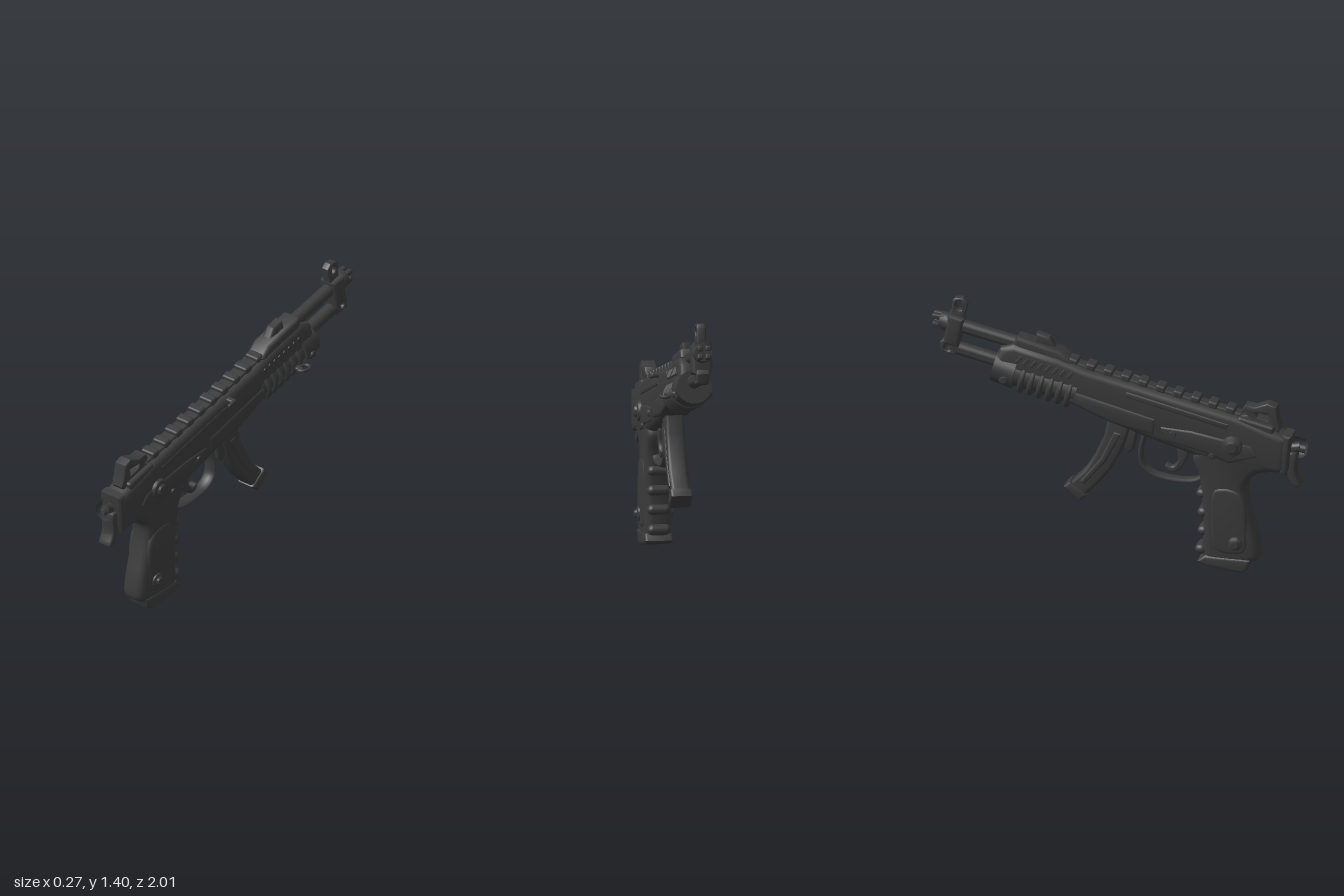
import * as THREE from 'three';
import { toCreasedNormals } from 'three/addons/utils/BufferGeometryUtils.js';
import { RoundedBoxGeometry } from 'three/addons/geometries/RoundedBoxGeometry.js';

const CX = -0.022;    // centre plane of the body
const TILT = 0.24;    // upward slope of the barrel

export function createModel() {
  const model = new THREE.Group();
  const dark = new THREE.MeshStandardMaterial({ color: 0x3a3a3a });
  dark.name = 'dark grey';

  const add = (name, geo, x = 0, y = 0, z = 0) => {
    const m = new THREE.Mesh(geo, dark);
    m.name = name;
    m.position.set(x, y, z);
    model.add(m);
    return m;
  };
  const vecs = (pts) => pts.map(([z, y]) => new THREE.Vector2(z, y));

  // side profile of [z, y] points, extruded across x with rounded edges
  const profile = (name, pts, width, bevel, { smooth = false, hole = null, x = CX } = {}) => {
    const shape = new THREE.Shape();
    if (smooth) {
      const c = new THREE.CatmullRomCurve3(pts.map(([z, y]) => new THREE.Vector3(z, y, 0)), true, 'centripetal');
      shape.setFromPoints(c.getPoints(pts.length * 4).slice(0, -1).map((p) => new THREE.Vector2(p.x, p.y)));
    } else shape.setFromPoints(vecs(pts));
    if (hole) shape.holes.push(hole.r
      ? new THREE.Path().absarc(hole.z, hole.y, hole.r, 0, Math.PI * 2, true)
      : new THREE.Path(vecs(hole)));
    const geo = new THREE.ExtrudeGeometry(shape, {
      depth: width - 2 * bevel, bevelEnabled: true, bevelThickness: bevel,
      bevelSize: bevel, bevelOffset: -bevel, bevelSegments: 3, curveSegments: 10,
    });
    geo.translate(0, 0, bevel - width / 2);
    geo.rotateY(-Math.PI / 2);
    return add(name, toCreasedNormals(geo, 0.7), x);
  };

  // cylinder between two [z, y] points on the centre plane
  const rod = (name, [z1, y1], [z2, y2], r1, r2 = r1, sx = 1) => {
    const d = new THREE.Vector3(0, y2 - y1, z2 - z1);
    const geo = toCreasedNormals(new THREE.CylinderGeometry(r2, r1, d.length(), 24), 0.7);
    const m = add(name, geo, CX, (y1 + y2) / 2, (z1 + z2) / 2);
    m.quaternion.setFromUnitVectors(new THREE.Vector3(0, 1, 0), d.normalize());
    m.scale.x = sx;
    return m;
  };

  // domed boss running through to both sides
  const boss = (name, z, y, r, half) => {
    const pts = vecs([[0, -half], [r * 0.45, -half], [r * 0.55, -half + 0.012], [r * 0.85, -half + 0.018], [r, -half + 0.035],
      [r, half - 0.035], [r * 0.85, half - 0.018], [r * 0.55, half - 0.012], [r * 0.45, half], [0, half]]);
    const geo = toCreasedNormals(new THREE.LatheGeometry(pts, 24), 0.6);
    geo.rotateZ(Math.PI / 2);
    add(name, geo, CX, y, z);
  };
  const block = (name, z, y, w, h, l, r, x = CX) => {
    const m = add(name, new RoundedBoxGeometry(w, h, l, 2, r), x, y, z);
    m.rotation.x = TILT;
    return m;
  };

  // receiver and side panels
  profile('receiver', [[0.91, 0.77], [0.84, 0.8], [0.65, 0.87], [0.25, 0.965], [-0.18, 1.07], [-0.31, 1.12],
    [-0.555, 1.18], [-0.63, 1.15], [-0.67, 1.01], [-0.29, 0.9], [-0.02, 0.775], [0.14, 0.72], [0.46, 0.62],
    [0.84, 0.57], [0.9, 0.58]], 0.145, 0.035);
  profile('magazineHousing', [[0.21, 0.83], [-0.23, 0.95], [-0.27, 0.89], [-0.03, 0.785], [0.2, 0.735]], 0.16, 0.02);
  profile('lowerPanel', [[0.76, 0.66], [0.72, 0.72], [0.4, 0.78], [0.23, 0.79], [0.26, 0.71], [0.47, 0.66], [0.6, 0.61]], 0.157, 0.015);
  profile('upperPanel', [[0.6, 0.83], [0.05, 0.97], [0.04, 0.94], [0.59, 0.8]], 0.154, 0.008);
  profile('topCover', [[-0.24, 1.1], [-0.3, 1.155], [-0.54, 1.22], [-0.56, 1.18], [-0.5, 1.1], [-0.28, 1.04]], 0.115, 0.02);

  // round pins and selector
  boss('selectorBoss', 0.62, 0.71, 0.058, 0.106);
  boss('frontPin', 0.3, 0.75, 0.036, 0.088);
  boss('rearPin', 0.51, 0.65, 0.028, 0.088);
  boss('gripPin', 0.635, 0.165, 0.042, 0.102);
  boss('handguardPin', -0.6, 0.99, 0.036, 0.106);

  // top rail with teeth
  profile('topRail', [[0.66, 0.88], [-0.27, 1.105], [-0.26, 1.06], [0.65, 0.84]], 0.075, 0.01);
  for (let i = 0; i < 10; i++) {
    const z = 0.6 - i * 0.0935;
    block('railTooth', z, 0.895 + (0.6 - z) * 0.24, 0.09, 0.04, 0.052, 0.012);
  }
  profile('railFrontSight', [[-0.34, 1.17], [-0.37, 1.22], [-0.44, 1.24], [-0.455, 1.18]], 0.055, 0.012);

  // vents on both sides of the top cover
  for (const s of [-1, 1]) for (let i = 0; i < 8; i++) {
    const z = -0.25 - i * 0.039;
    block('ventRib', z, 1.035 + i * 0.0094, 0.012, 0.045, 0.018, 0.004, CX + s * 0.072).rotation.x = 0.7;
  }

  // ribbed round handguard
  rod('handguard', [-0.22, 0.93], [-0.6, 1.02], 0.076, 0.076, 1.12);
  rod('handguardCollar', [-0.55, 1.01], [-0.665, 1.037], 0.096, 0.088, 1.05);
  for (let i = 0; i < 6; i++) {
    const z = -0.26 - i * 0.05;
    const ring = add('handguardRib', new THREE.TorusGeometry(0.076, 0.016, 8, 28), CX, 0.925 + i * 0.012, z);
    ring.rotation.x = TILT;
    ring.scale.x = 1.1;
  }

  // sling loop and cocking lever on one side
  block('slingPost', -0.47, 0.965, 0.09, 0.022, 0.03, 0.009, 0.07);
  const loop = add('slingLoop', new THREE.TorusGeometry(0.025, 0.009, 8, 20), 0.105, 0.965, -0.495);
  loop.rotation.x = Math.PI / 2;
  loop.scale.y = 1.4;
  block('cockingLever', 0.045, 0.99, 0.09, 0.025, 0.032, 0.01, 0.045);
  block('cockingTip', 0.065, 0.985, 0.02, 0.028, 0.055, 0.009, 0.083);

  // barrels, muzzle and front sight
  rod('upperBarrel', [-0.5, 1.158], [-0.92, 1.256], 0.036);
  rod('lowerBarrel', [-0.55, 1.038], [-0.9, 1.122], 0.036);
  rod('muzzle', [-0.89, 1.249], [-0.96, 1.265], 0.054, 0.046);
  for (let i = 0; i < 4; i++) {
    const a = (i + 0.5) * Math.PI / 2;
    const prong = block('muzzleProng', -0.965, 1.264 + Math.sin(a) * 0.034, 0.03, 0.028, 0.068, 0.009, CX + Math.cos(a) * 0.03);
    prong.rotation.x = TILT - Math.sin(a) * 0.15;
  }
  profile('sightBracket', [[-0.825, 1.29], [-0.91, 1.315], [-0.935, 1.15], [-0.855, 1.13]], 0.11, 0.02);
  profile('frontSight', [[-0.81, 1.375], [-0.835, 1.4], [-0.875, 1.4], [-0.89, 1.385], [-0.9, 1.29], [-0.83, 1.28]],
    0.05, 0.009, { hole: { z: -0.85, y: 1.357, r: 0.024 } });
  profile('bracketLoop', [[-0.85, 1.155], [-0.93, 1.17], [-0.955, 1.15], [-0.95, 1.1], [-0.875, 1.08], [-0.86, 1.1]],
    0.07, 0.008, { hole: { z: -0.915, y: 1.122, r: 0.018 } });

  // rear sight
  profile('rearSight', [[0.855, 0.865], [0.845, 0.93], [0.8, 0.948], [0.73, 0.922], [0.68, 0.932], [0.66, 0.9],
    [0.69, 0.875], [0.65, 0.87], [0.6, 0.885], [0.6, 0.83], [0.84, 0.77], [0.87, 0.81]], 0.075, 0.007,
  { hole: [[0.805, 0.893], [0.73, 0.893], [0.74, 0.868], [0.8, 0.853]] });
  block('sightBase', 0.74, 0.825, 0.13, 0.05, 0.2, 0.015);

  // rear cap with hook
  profile('rearCap', [[0.93, 0.78], [0.885, 0.79], [0.87, 0.58], [0.9, 0.56], [0.915, 0.6]], 0.14, 0.016);
  const cap = vecs([[0.022, -0.05], [0.022, 0.055], [0.032, 0.06], [0.05, 0.045], [0.056, 0.01], [0.056, -0.05]]);
  const knob = add('rearKnob', toCreasedNormals(new THREE.LatheGeometry(cap, 24), 0.7), CX, 0.705, 0.942);
  knob.rotation.x = Math.PI / 2 + TILT * 0.6;
  rod('rearKnobSocket', [0.9, 0.695], [0.97, 0.71], 0.026);
  profile('rearHook', [[0.95, 0.68], [0.9, 0.68], [0.905, 0.57], [0.93, 0.505], [0.95, 0.495], [0.975, 0.5], [0.95, 0.57]],
    0.085, 0.012, { smooth: true });

  // pistol grip
  profile('grip', [[0.84, 0.58], [0.75, 0.555], [0.695, 0.5], [0.69, 0.43], [0.715, 0.31], [0.745, 0.19], [0.752, 0.08],
    [0.7, 0.05], [0.47, 0.05], [0.455, 0.12], [0.455, 0.3], [0.445, 0.42], [0.435, 0.52], [0.4, 0.63], [0.5, 0.72], [0.8, 0.68]],
  0.14, 0.04, { smooth: true });
  profile('gripPanel', [[0.66, 0.45], [0.52, 0.46], [0.5, 0.3], [0.52, 0.12], [0.68, 0.11], [0.7, 0.22]], 0.152, 0.02, { smooth: true });
  profile('gripBase', [[0.715, 0.075], [0.695, 0.015], [0.67, 0], [0.6, 0.005], [0.46, 0.03], [0.43, 0.05], [0.47, 0.085]], 0.15, 0.015);
  for (const [z, y] of [[0.452, 0.42], [0.458, 0.315], [0.458, 0.212], [0.445, 0.108]]) {
    const ridge = add('fingerRidge', new THREE.CapsuleGeometry(0.028, 0.07, 6, 12), CX, y, z);
    ridge.rotation.z = Math.PI / 2;
    ridge.scale.z = 1.2;
  }

  // trigger and guard, swept flat bands
  const band = (name, pts, thick, width) => {
    const c = new THREE.CatmullRomCurve3(pts.map(([z, y]) => new THREE.Vector3(0, y, z)));
    const m = add(name, new THREE.TubeGeometry(c, 36, thick / 2, 10, false), CX);
    m.scale.x = width / thick;
  };
  band('triggerGuard', [[0.45, 0.5], [0.4, 0.478], [0.3, 0.475], [0.18, 0.5], [0.125, 0.55], [0.115, 0.62], [0.14, 0.73]], 0.028, 0.075);
  profile('trigger', [[0.375, 0.67], [0.365, 0.6], [0.325, 0.535], [0.28, 0.515], [0.25, 0.535], [0.25, 0.56],
    [0.285, 0.55], [0.315, 0.585], [0.315, 0.67]], 0.05, 0.01, { smooth: true });

  // curved magazine with ribs and foot
  profile('magazine', [[0.075, 0.8], [-0.05, 0.82], [-0.075, 0.7], [-0.125, 0.59], [-0.18, 0.5], [-0.265, 0.41],
    [-0.19, 0.345], [-0.1, 0.435], [-0.04, 0.51], [0.01, 0.6], [0.045, 0.68]], 0.1, 0.018);
  profile('magazineRib', [[0.02, 0.72], [-0.02, 0.73], [-0.09, 0.58], [-0.2, 0.44], [-0.18, 0.42], [-0.06, 0.56]], 0.112, 0.01);
  profile('magazineFoot', [[-0.255, 0.435], [-0.29, 0.4], [-0.205, 0.325], [-0.165, 0.36], [-0.2, 0.395]], 0.118, 0.015);
  profile('magazineCatch', [[0.1, 0.74], [0.08, 0.63], [0.055, 0.61], [0.03, 0.64], [0.03, 0.76]], 0.07, 0.012);

  return model;
}
